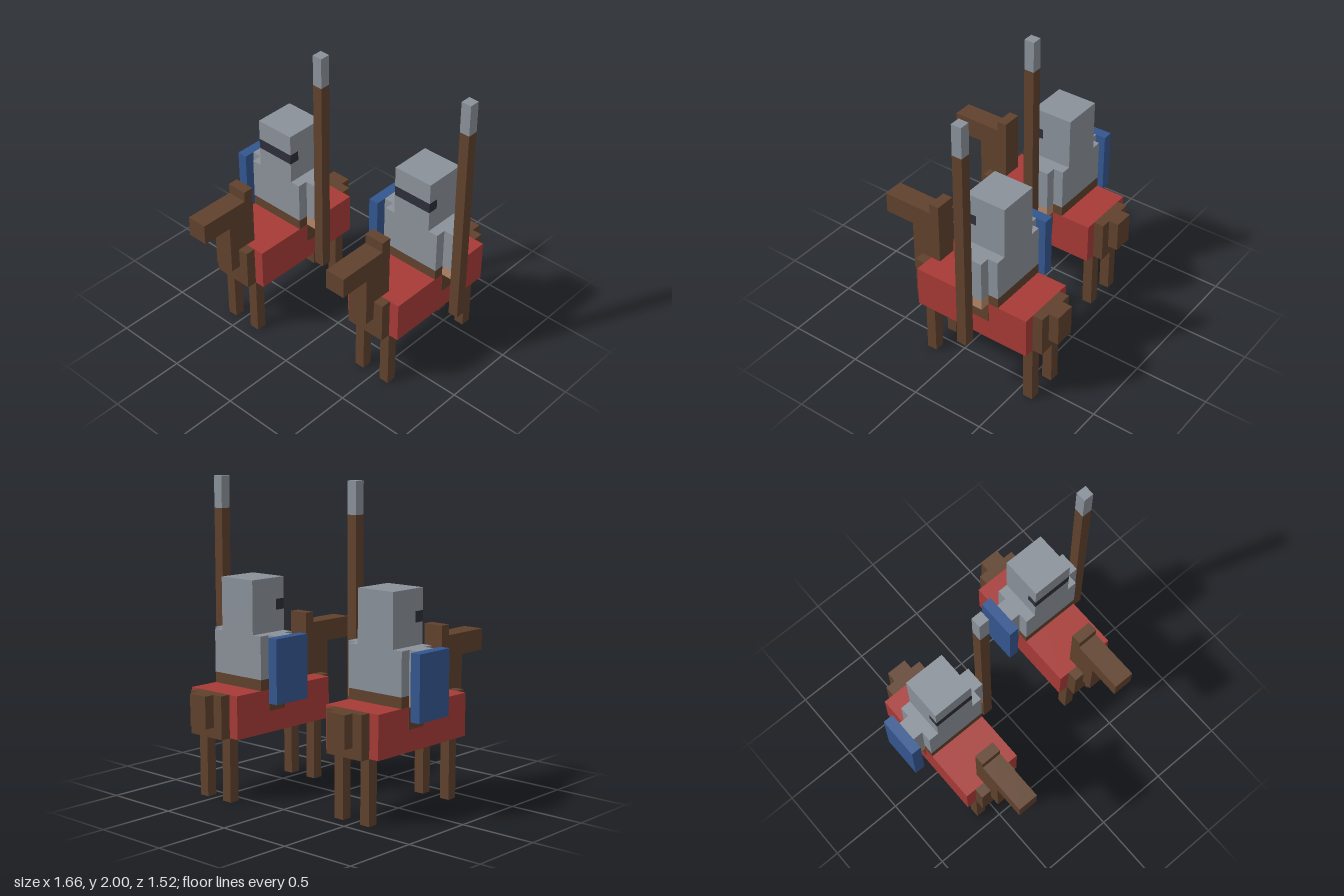
import * as THREE from 'three';

const U = 2 / 29; // size of one grid cell

const makeMaterial = (name, color) => {
  const m = new THREE.MeshStandardMaterial({ color });
  m.name = name;
  return m;
};

export function createModel() {
  const red = makeMaterial('red cloth', 0xa63a36);
  const brown = makeMaterial('brown hide and wood', 0x60412c);
  const steel = makeMaterial('grey steel', 0x8a9199);
  const dark = makeMaterial('dark visor', 0x2d2e38);
  const blue = makeMaterial('blue shield', 0x33568f);
  const skin = makeMaterial('skin', 0xb3866a);

  // Box given by its two corners, in grid cells
  const box = (parent, name, material, [x0, y0, z0], [x1, y1, z1]) => {
    const geometry = new THREE.BoxGeometry((x1 - x0) * U, (y1 - y0) * U, (z1 - z0) * U);
    const mesh = new THREE.Mesh(geometry, material);
    mesh.name = name;
    mesh.position.set((x0 + x1) * U / 2, (y0 + y1) * U / 2, (z0 + z1) * U / 2);
    parent.add(mesh);
  };

  // Horse and rider, centred on x = 0
  const createKnight = () => {
    const knight = new THREE.Group();
    const horse = new THREE.Group();
    horse.name = 'horse';
    const rider = new THREE.Group();
    rider.name = 'rider';
    knight.add(horse, rider);

    // Horse body and head
    box(horse, 'blanket', red, [-3, 6, -6], [3, 10, 6]);
    box(horse, 'chest', brown, [-2, 6, 6], [2, 10, 7]);
    box(horse, 'rump', brown, [-2, 6, -7], [2, 10, -6]);
    box(horse, 'tail', brown, [-1, 7, -8], [1, 10, -7]);
    box(horse, 'neck', brown, [-1, 8, 5], [1, 15, 8]);
    box(horse, 'muzzle', brown, [-1, 13, 8], [1, 15, 11]);
    box(horse, 'ears', brown, [-1, 15, 5], [1, 16, 6]);
    for (const x of [-2, 1])
      for (const z of [-6, 5])
        box(horse, 'leg', brown, [x, 0, z], [x + 1, 6, z + 1]);

    // Rider torso and helmet, with the visor let into the front
    box(rider, 'belt', brown, [-3, 10, -3], [3, 11, 1]);
    box(rider, 'torso', steel, [-3, 11, -3], [3, 15, 1]);
    box(rider, 'helmetLower', steel, [-2, 15, -3], [2, 17, 1]);
    box(rider, 'helmetBack', steel, [-2, 17, -3], [2, 18, 0]);
    box(rider, 'visor', dark, [-2, 17, 0], [2, 18, 1]);
    box(rider, 'helmetTop', steel, [-2, 18, -3], [2, 20, 1]);

    // Arms, hands and boots on both sides
    for (const s of [-1, 1]) {
      const side = (name, material, a, b, y0, y1) =>
        box(rider, name, material, [Math.min(s * a, s * b), y0, -2], [Math.max(s * a, s * b), y1, 0]);
      side('arm', steel, 3, 4, 11, 15);
      side('hand', skin, 3, 4, 10, 11);
      side('boot', brown, 3, 3.04, 8, 10);
    }

    // Shield and lance
    box(rider, 'shield', blue, [-5, 9, -3], [-4, 15, 1]);
    box(rider, 'lanceShaft', brown, [4, 6, -1], [5, 26, 0]);
    box(rider, 'lanceTip', steel, [4, 26, -1], [5, 29, 0]);
    return knight;
  };

  const model = new THREE.Group();
  model.name = 'mountedKnights';
  for (const [name, x, z] of [['rightKnight', -7, 0], ['leftKnight', 7, -3]]) {
    const knight = createKnight();
    knight.name = name;
    knight.position.set(x * U, 0, z * U);
    model.add(knight);
  }
  return model;
}
